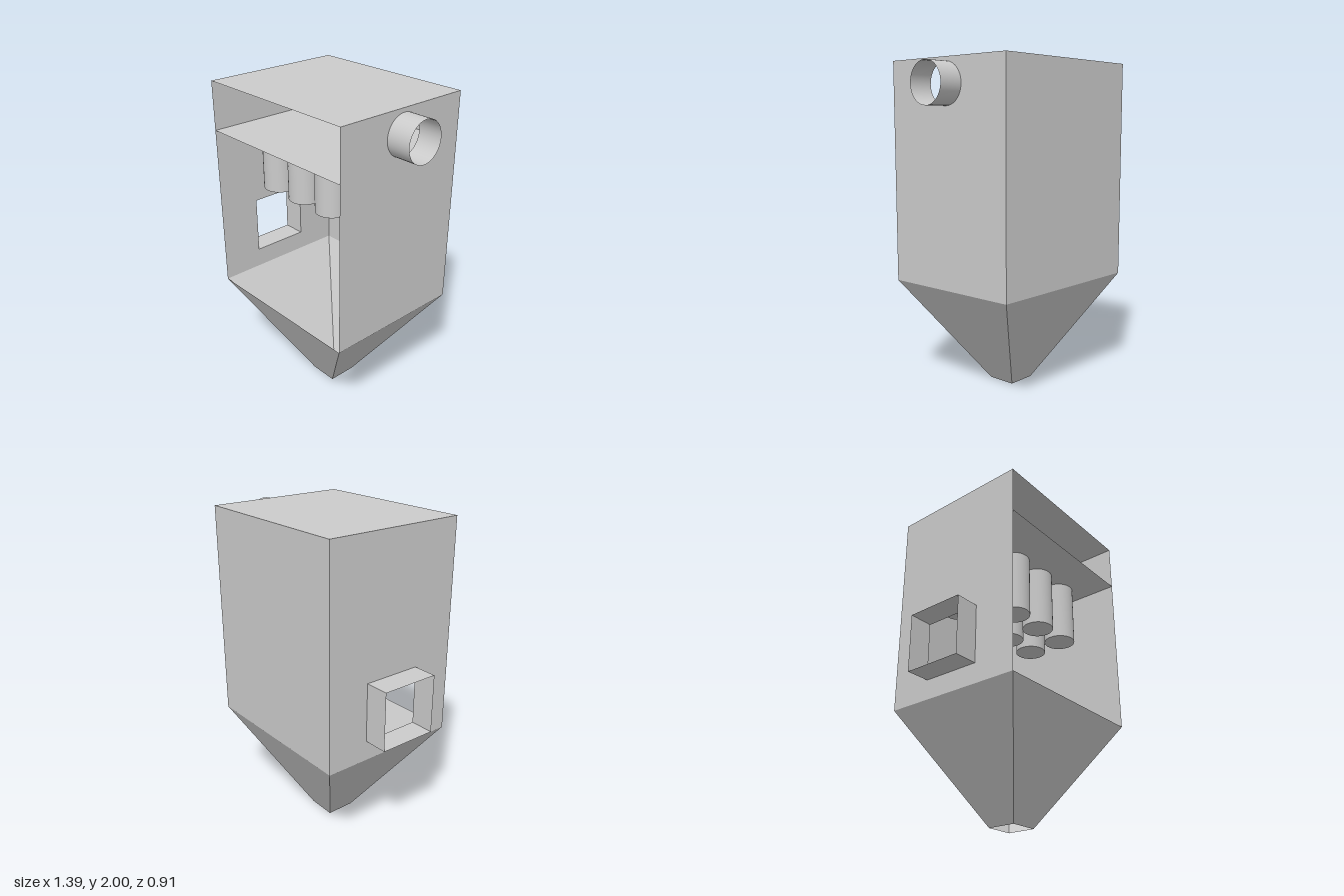
import * as THREE from 'three';

const HX = 0.545, HZ = 0.453;          // half width and depth of the housing
const Y0 = 0.667, Y1 = 2;              // housing bottom and top
const SHEET_Y = 1.7;                   // tube sheet level
const DUCT_END = 0.697;                // outer end of inlet and outlet

export function createModel() {
  const group = new THREE.Group();
  const sheetMetal = new THREE.MeshStandardMaterial({ color: 0xcccccc, side: THREE.DoubleSide });

  function add(name, geometry, x = 0, y = 0, z = 0) {
    const mesh = new THREE.Mesh(geometry, sheetMetal);
    mesh.name = name;
    mesh.position.set(x, y, z);
    group.add(mesh);
  }

  function rectangle(x0, y0, x1, y1, Type = THREE.Shape) {
    return new Type([[x0, y0], [x1, y0], [x1, y1], [x0, y1]].map(p => new THREE.Vector2(...p)));
  }

  // Open-ended square funnel or duct along y, flat sided
  function rectTube(bx, bz, tx, tz, height) {
    const signs = [[1, 1], [1, -1], [-1, -1], [-1, 1]];
    const points = [];
    signs.forEach(([sx, sz], i) => {
      const [nx, nz] = signs[(i + 1) % 4];
      const a = [sx * bx, 0, sz * bz], b = [nx * bx, 0, nz * bz];
      const c = [nx * tx, height, nz * tz], d = [sx * tx, height, sz * tz];
      points.push(...a, ...b, ...c, ...a, ...c, ...d);
    });
    const geometry = new THREE.BufferGeometry();
    geometry.setAttribute('position', new THREE.Float32BufferAttribute(points, 3));
    geometry.computeVertexNormals();
    return geometry;
  }

  // Housing: roof, back and two side walls, with the front left open
  add('roof', new THREE.PlaneGeometry(2 * HX, 2 * HZ).rotateX(-Math.PI / 2), 0, Y1, 0);
  add('backWall', new THREE.PlaneGeometry(2 * HX, Y1 - Y0).rotateY(Math.PI), 0, (Y0 + Y1) / 2, -HZ);

  const inletY = 0.973, inletHalfY = 0.182, inletHalfZ = 0.185;
  const inletWall = rectangle(-HZ, Y0, HZ, Y1);
  inletWall.holes.push(rectangle(-inletHalfZ, inletY - inletHalfY, inletHalfZ, inletY + inletHalfY, THREE.Path));
  add('inletWall', new THREE.ShapeGeometry(inletWall).rotateY(-Math.PI / 2), -HX);

  const outletY = 1.852, outletR = 0.123;
  const outletWall = rectangle(-HZ, Y0, HZ, Y1);
  outletWall.holes.push(new THREE.Path().absarc(0, outletY, outletR, 0, Math.PI * 2, true));
  add('outletWall', new THREE.ShapeGeometry(outletWall, 24).rotateY(Math.PI / 2), HX);

  // Hopper, open at both ends
  add('hopper', rectTube(0.09, 0.09, HX, HZ, Y0));

  // Rectangular inlet duct and round outlet pipe
  const ductLength = DUCT_END - HX;
  add('inletDuct', rectTube(inletHalfY, inletHalfZ, inletHalfY, inletHalfZ, ductLength).rotateZ(Math.PI / 2), -HX, inletY, 0);
  add('outletPipe', new THREE.CylinderGeometry(outletR, outletR, ductLength, 48, 1, true).rotateZ(Math.PI / 2),
    HX + ductLength / 2, outletY, 0);

  // Tube sheet with two rows of hanging filter bags
  add('tubeSheet', new THREE.PlaneGeometry(2 * HX, 2 * HZ).rotateX(-Math.PI / 2), 0, SHEET_Y, 0);
  const bagLength = 0.4, pitch = 0.243;
  const bag = new THREE.CylinderGeometry(0.1, 0.1, bagLength, 32);
  for (let row = 0; row < 2; row++) {
    for (let i = 0; i < 4; i++) {
      add('filterBag', bag, (i - 1.5) * pitch, SHEET_Y - bagLength / 2, (row - 0.5) * 0.246);
    }
  }
  return group;
}
